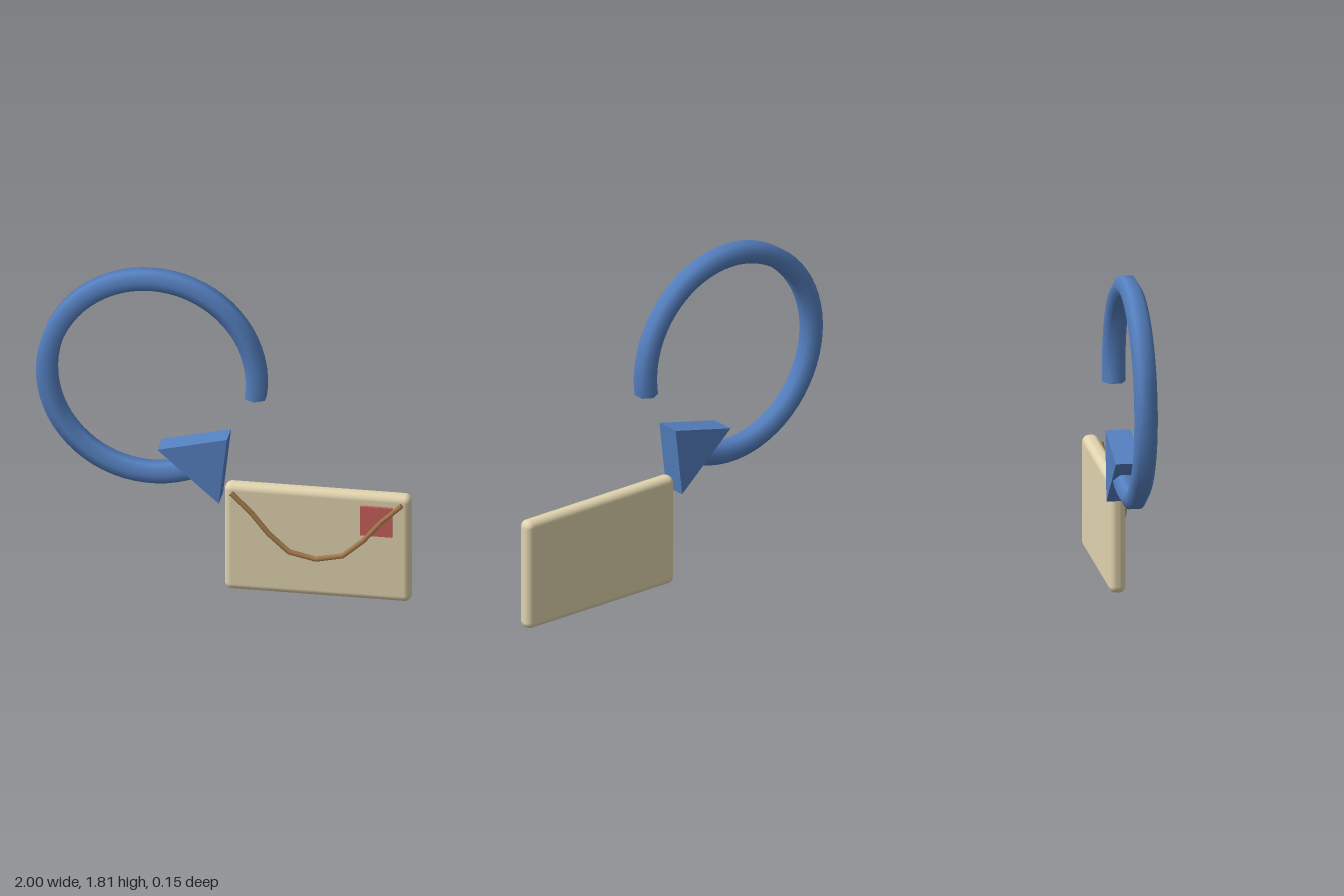
import * as THREE from 'three';
import { RoundedBoxGeometry } from 'three/addons/geometries/RoundedBoxGeometry.js';

function mat(name, color) {
  const m = new THREE.MeshStandardMaterial({ color });
  m.name = name;
  return m;
}

function addMesh(parent, name, geometry, material, x = 0, y = 0, z = 0) {
  const mesh = new THREE.Mesh(geometry, material);
  mesh.name = name;
  mesh.position.set(x, y, z);
  parent.add(mesh);
  return mesh;
}

// Flat fan closing one end of a tube, built from its first or last ring of vertices
function tubeCap(tube, sides, atEnd) {
  const src = tube.attributes.position;
  const first = atEnd ? src.count - sides - 1 : 0;
  const p = [], index = [];
  for (let i = 0; i < sides; i++) {
    p.push(src.getX(first + i), src.getY(first + i), src.getZ(first + i));
    if (i > 1) index.push(0, i - 1, i);
  }
  const cap = new THREE.BufferGeometry();
  cap.setAttribute('position', new THREE.Float32BufferAttribute(p, 3));
  cap.setIndex(index);
  cap.computeVertexNormals();
  return cap;
}

function addTube(parent, name, geometry, sides, material, capMaterial) {
  addMesh(parent, name, geometry, material);
  addMesh(parent, name + 'StartCap', tubeCap(geometry, sides, false), capMaterial);
  addMesh(parent, name + 'EndCap', tubeCap(geometry, sides, true), capMaterial);
}

class Arc extends THREE.Curve {
  constructor(cx, cy, cz, r, from, to) {
    super();
    Object.assign(this, { cx, cy, cz, r, from, to });
  }
  getPoint(t, target = new THREE.Vector3()) {
    const a = THREE.MathUtils.degToRad(this.from + (this.to - this.from) * t);
    return target.set(this.cx + this.r * Math.cos(a), this.cy + this.r * Math.sin(a), this.cz);
  }
}

export function createModel() {
  const model = new THREE.Group();
  const blue = mat('blue', 0x5580c0);
  const cream = mat('cream', 0xe0d3ae);
  const red = mat('red', 0xc8605a);
  const brown = mat('brown', 0xa87c50);
  blue.side = brown.side = THREE.DoubleSide;

  // Circular arrow: six-sided ring, open at the right
  const arrow = new THREE.Group();
  arrow.name = 'circularArrow';
  model.add(arrow);
  const ring = new THREE.TubeGeometry(new Arc(-0.385, 1.2, -0.008, 0.56, -8.7, 300), 56, 0.0625, 6, false);
  // Level the free end
  for (let i = 0; i < 7; i++) ring.attributes.position.setY(i, 1.115);
  addTube(arrow, 'arrowRing', ring, 6, blue, blue);

  // Triangular arrowhead
  const head = new THREE.Shape([
    new THREE.Vector2(-0.345, 0.8),
    new THREE.Vector2(-0.018, 0.512),
    new THREE.Vector2(0.025, 0.888),
  ]);
  addMesh(arrow, 'arrowHead', new THREE.ExtrudeGeometry(head, { depth: 0.136, bevelEnabled: false }),
    blue, 0, 0, -0.076);

  // Envelope body with rounded edges
  const envelope = new THREE.Group();
  envelope.name = 'envelope';
  model.add(envelope);
  addMesh(envelope, 'envelopeBody', new RoundedBoxGeometry(0.995, 0.615, 0.088, 4, 0.037),
    cream, 0.5025, 0.3075, -0.01);

  // Stamp
  addMesh(envelope, 'stamp', new THREE.BoxGeometry(0.17, 0.168, 0.02), red, 0.82, 0.469, 0.041);

  // Flap line: a thin cord sagging across the front
  const half = [[0.455, 0.572, 0.045], [0.347, 0.472, 0.05], [0.25, 0.355, 0.055], [0.142, 0.262, 0.059]];
  const points = [
    ...half.map(([x, y, z]) => new THREE.Vector3(0.5 - x, y, z)),
    new THREE.Vector3(0.5, 0.232, 0.06),
    ...half.reverse().map(([x, y, z]) => new THREE.Vector3(0.5 + x, y, z)),
  ];
  const cord = new THREE.TubeGeometry(new THREE.CatmullRomCurve3(points), 8, 0.014, 6, false);
  addTube(envelope, 'flapLine', cord, 6, brown, brown);

  return model;
}
